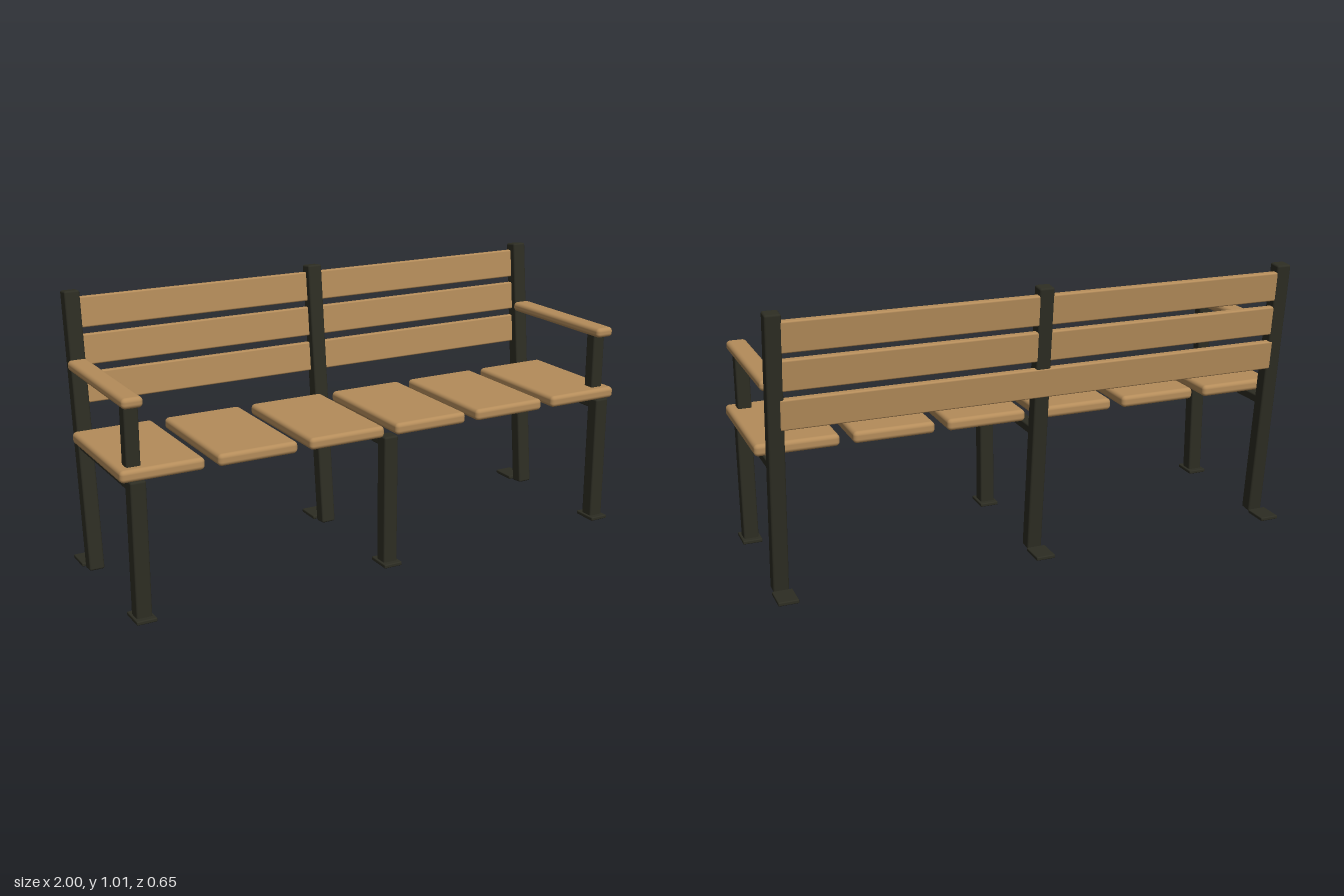
import * as THREE from 'three';
import { RoundedBoxGeometry } from 'three/addons/geometries/RoundedBoxGeometry.js';

export function createModel() {
  const bench = new THREE.Group();
  bench.name = 'bench';

  const wood = new THREE.MeshStandardMaterial({ color: 0xb48c5a });
  wood.name = 'wood';
  const iron = new THREE.MeshStandardMaterial({ color: 0x2d2d23 });
  iron.name = 'dark iron';

  // Rounded block from its size and centre
  function block(name, material, size, centre, radius, parent = bench) {
    const mesh = new THREE.Mesh(new RoundedBoxGeometry(...size, 3, radius), material);
    mesh.name = name;
    mesh.position.set(...centre);
    parent.add(mesh);
    return mesh;
  }

  // Three frames: front leg, seat beam and foot plates
  const frameX = [-0.943, 0, 0.943];
  for (const x of frameX) {
    block('frontLeg', iron, [0.055, 0.492, 0.054], [x, 0.248, 0.275], 0.007);
    block('seatBeam', iron, [0.045, 0.032, 0.48], [x, 0.468, 0.02], 0.006);
    block('frontFoot', iron, [0.072, 0.014, 0.096], [x, 0.012, 0.275], 0.004);
    block('backFoot', iron, [0.072, 0.014, 0.096], [x, 0.012, -0.275], 0.004);
  }

  // Leaning back: posts and slats share one tilted group
  const back = new THREE.Group();
  back.name = 'leaningBack';
  back.position.set(0, 0.507, -0.242);
  back.rotation.x = -0.101;
  bench.add(back);
  for (const x of frameX) {
    block('backPost', iron, [0.055, 1.005, 0.052], [x, 0, 0], 0.007, back);
  }
  // Only the lowest slat stands slightly proud of the posts
  const slats = [[0.422, -0.0115], [0.29, -0.0115], [0.155, -0.015]];
  for (const [y, z] of slats) {
    block('backSlat', wood, [1.86, 0.109, 0.026], [0, y, z], 0.006, back);
  }

  // Six separate seat boards
  for (let i = 0; i < 6; i++) {
    block('seatBoard', wood, [0.294, 0.043, 0.484], [(i - 2.5) * 0.3412, 0.513, 0.055], 0.015);
  }

  // Armrests on the outer frames
  for (const side of [-1, 1]) {
    block('armPost', iron, [0.05, 0.22, 0.047], [side * 0.943, 0.635, 0.242], 0.007);
    block('armrest', wood, [0.073, 0.037, 0.548], [side * 0.946, 0.754, 0.023], 0.015);
  }

  return bench;
}
